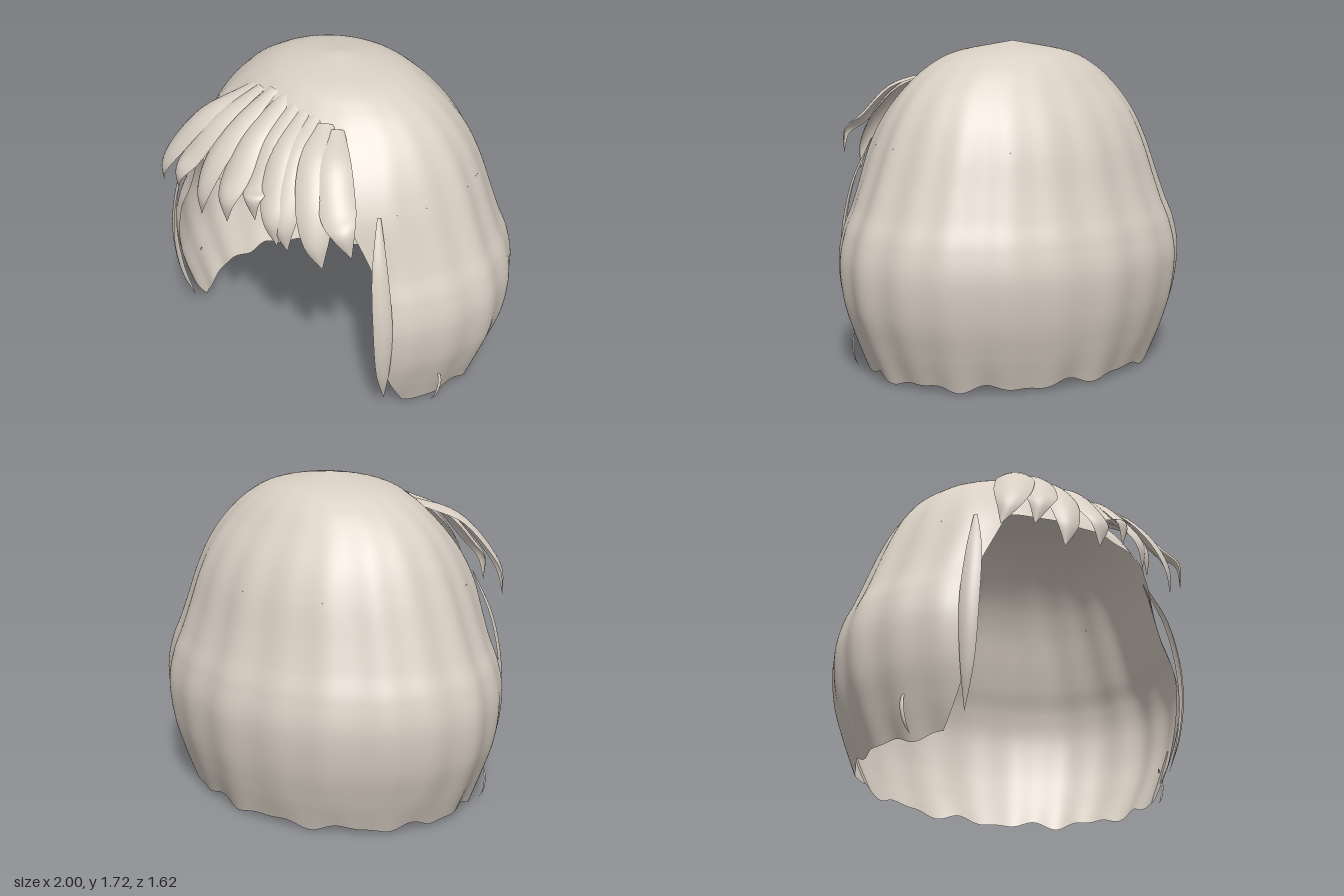
import * as THREE from 'three';

const V = (x, y, z) => new THREE.Vector3(x, y, z);

// Smooth surface patch: point(s, t) with s to the right and t upward seen from outside
function patch(point, ns, nt) {
  const pos = [], nor = [], idx = [], e = 1e-3;
  for (let j = 0; j <= nt; j++) for (let i = 0; i <= ns; i++) {
    const s = i / ns, t = j / nt;
    const ds = point(Math.min(1, s + e), t).sub(point(Math.max(0, s - e), t));
    const dt = point(s, Math.min(1, t + e)).sub(point(s, Math.max(0, t - e)));
    const n = ds.cross(dt);
    if (n.length() < 1e-10) n.set(0, 1, 0);
    pos.push(...point(s, t).toArray());
    nor.push(...n.normalize().toArray());
    if (i < ns && j < nt) {
      const a = j * (ns + 1) + i, b = a + ns + 1;
      idx.push(a, a + 1, b + 1, a, b + 1, b);
    }
  }
  const g = new THREE.BufferGeometry();
  g.setAttribute('position', new THREE.Float32BufferAttribute(pos, 3));
  g.setAttribute('normal', new THREE.Float32BufferAttribute(nor, 3));
  g.setIndex(idx);
  return g;
}

// Head profile from hem to apex: half width, height, half depth
const rows = [
  [0.84, 0.025, 0.675], [0.91, 0.2, 0.735], [0.968, 0.38, 0.78], [0.988, 0.58, 0.798], [0.96, 0.74, 0.77],
  [0.905, 0.87, 0.725], [0.855, 1.0, 0.685], [0.78, 1.195, 0.63], [0.705, 1.35, 0.56], [0.605, 1.485, 0.465],
  [0.47, 1.595, 0.37], [0.3, 1.668, 0.255], [0, 1.72, 0],
];
const profile = new THREE.CatmullRomCurve3(rows.map(r => V(...r)), false, 'catmullrom', 0.5);
const BROW = 7 / (rows.length - 1);

// Point on the rippled shell, angle measured from the front toward the left side
function shell(angle, u) {
  const p = profile.getPoint(u);
  const ripple = 1 + Math.min(1, p.x / 0.8) ** 2 * (0.007 * Math.cos(20 * angle) + 0.005 * Math.cos(12 * angle));
  const front = THREE.MathUtils.smoothstep(Math.cos(angle), 0, 0.85);
  const forehead = 1 + 0.12 * front * Math.exp(-(((p.y - 1.2) / 0.25) ** 2));
  const hem = Math.max(0, 1 - u / 0.12) ** 2 * (0.013 * Math.cos(13 * angle) + 0.009 * Math.sin(22 * angle));
  return V(p.x * ripple * Math.sin(angle), p.y + hem, p.z * ripple * forehead * Math.cos(angle));
}

// Half angle of the face opening at a given height
function opening(u) {
  const p = profile.getPoint(u);
  const x = 0.49 + 0.22 * Math.min(1, Math.max(0, (1.195 - p.y) / 0.45));
  return Math.asin(x / p.x);
}

// Domed lock of hair along a path, tapering from a root of the given bluntness to a point
function lock(points, width, root) {
  const path = new THREE.CatmullRomCurve3(points);
  return patch((s, t) => {
    const c = path.getPoint(t), out = V(c.x, (c.y - 0.7) * 0.6, c.z).normalize();
    const side = path.getTangent(t).cross(out).normalize();
    const w = width * Math.max(0.002, Math.sin(Math.PI * (root + (1 - root) * t)));
    const k = s * 2 - 1;
    return c.addScaledVector(side, w * k).addScaledVector(out, -0.35 * w * k * k);
  }, 8, 20);
}

export function createModel() {
  const group = new THREE.Group();
  const hair = new THREE.MeshStandardMaterial({ color: 0xd9cfc4, side: THREE.DoubleSide });
  hair.name = 'hair';
  const add = (name, geometry) => {
    const mesh = new THREE.Mesh(geometry, hair);
    mesh.name = name;
    group.add(mesh);
  };

  // Closed crown above the brow, and the curtain around the sides and back
  add('crown', patch((s, t) => shell(s * Math.PI * 2, BROW + (1 - BROW) * t), 200, 30));
  add('curtain', patch((s, t) => {
    const u = BROW * t, a = opening(u);
    return shell(a + s * (Math.PI * 2 - 2 * a), u);
  }, 200, 44));

  // Fringe: root x, y, z, tip x, y, half width
  const fringe = [
    [-0.31, 1.57, 0.32, -0.64, 1.03, 0.1], [-0.24, 1.59, 0.345, -0.47, 1.07, 0.095],
    [-0.15, 1.61, 0.35, -0.29, 1.0, 0.09], [-0.06, 1.61, 0.35, -0.08, 1.06, 0.09],
    [0.02, 1.6, 0.36, 0.1, 1.14, 0.08], [0.09, 1.58, 0.385, 0.24, 1.05, 0.085],
    [0.16, 1.57, 0.39, 0.29, 1.03, 0.085], [0.23, 1.56, 0.39, 0.49, 1.0, 0.095],
    [0.29, 1.545, 0.385, 0.63, 1.1, 0.09],
  ];
  fringe.forEach(([rx, ry, rz, tx, ty, w], i) => {
    const at = (f, y, z) => {
      const x = rx + (tx - rx) * f;
      return V(x, y, z - 0.24 * x * x + (i % 2) * 0.012);
    };
    add('fringeLock' + (i + 1), lock([
      V(rx, ry, rz), at(0.36, 1.475, 0.59), at(0.72, 1.3, 0.74), at(0.92, ty + 0.13, 0.8), at(1, ty, 0.78),
    ], w, 0.14));
  });

  // Mirrored locks framing the face and thin wisps at the lower sides
  for (const [side, m] of [['left', 1], ['right', -1]]) {
    add(side + 'FaceLock', lock([
      V(0.61 * m, 1.2, 0.45), V(0.69 * m, 0.95, 0.535), V(0.74 * m, 0.62, 0.565),
      V(0.725 * m, 0.32, 0.54), V(0.685 * m, 0.11, 0.48),
    ], 0.05, 0.06));
    add(side + 'Wisp', lock([
      V(0.86 * m, 0.24, 0.245), V(0.88 * m, 0.17, 0.25), V(0.865 * m, 0.08, 0.258), V(0.83 * m, 0.025, 0.26),
    ], 0.012, 0.1));
  }
  return group;
}
